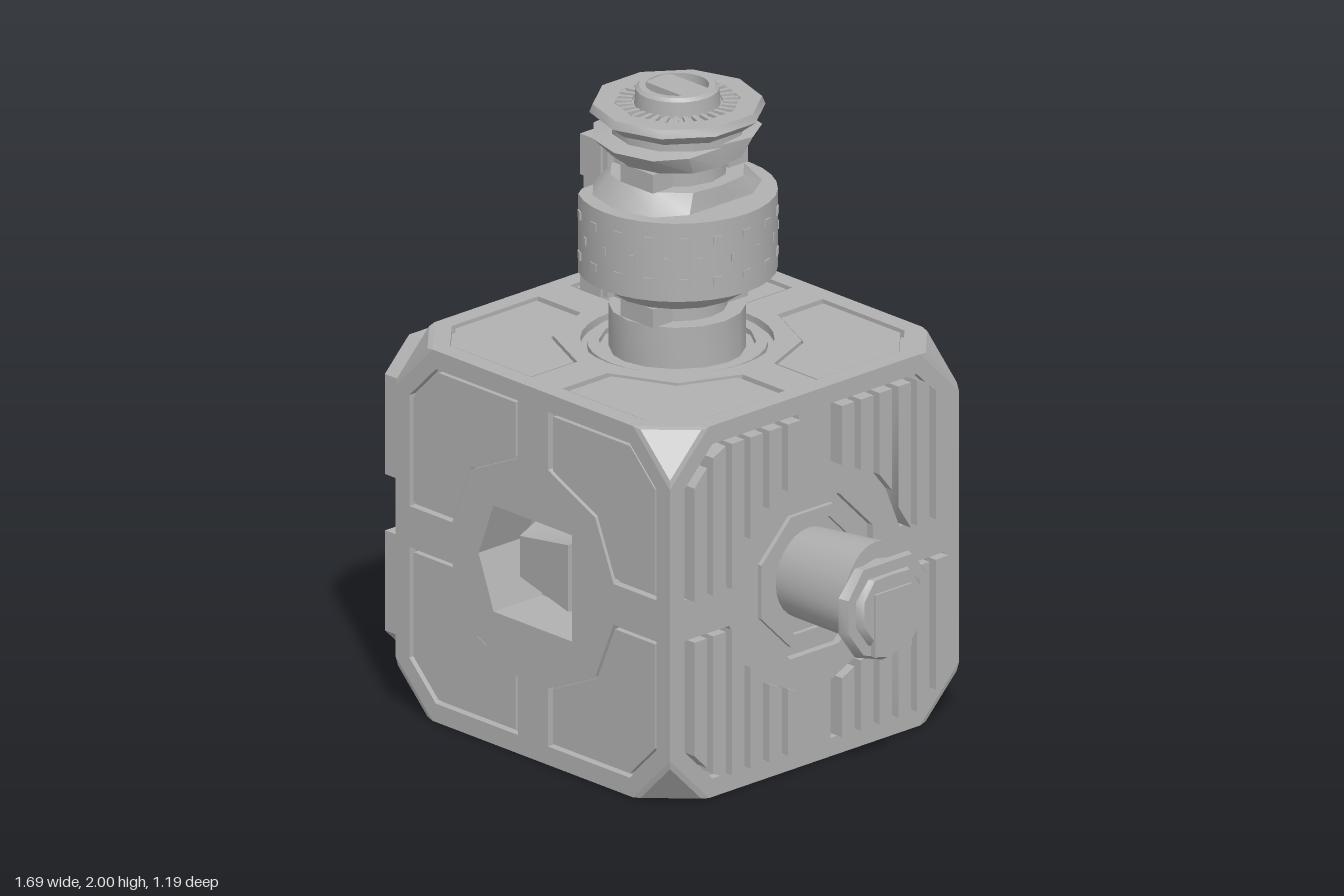
import * as THREE from 'three';
import { toCreasedNormals } from 'three/addons/utils/BufferGeometryUtils.js';
import { ConvexGeometry } from 'three/addons/geometries/ConvexGeometry.js';

const H = 0.594;      // half the cube
const CUT = 0.16;     // corner cut
const D = 0.025;      // depth of the face plates
const metal = new THREE.MeshStandardMaterial({ color: 0xb0b0b0 });
metal.name = 'grey metal';

const V2 = (p) => new THREE.Vector2(p[0], p[1]);
const shapeOf = (pts, holes = []) => {
  const s = new THREE.Shape(pts.map(V2));
  s.holes = holes.map((h) => new THREE.Path(h.map(V2)));
  return s;
};
const ngon = (n, r, turn = 0) => Array.from({ length: n }, (_, i) => {
  const a = turn + (i / n) * Math.PI * 2;
  return [r * Math.cos(a), r * Math.sin(a)];
});
const square = (h) => [[-h, -h], [h, -h], [h, h], [-h, h]];

function add(parent, name, geo, x = 0, y = 0, z = 0) {
  const m = new THREE.Mesh(toCreasedNormals(geo, 0.6), metal);
  m.name = name;
  m.position.set(x, y, z);
  parent.add(m);
  return m;
}
// Slab of a shape between two local heights
function slab(parent, name, shape, z0, z1) {
  return add(parent, name, new THREE.ExtrudeGeometry(shape, { depth: z1 - z0, bevelEnabled: false }), 0, 0, z0);
}
const box = (parent, name, w, h, d, x, y, z) => add(parent, name, new THREE.BoxGeometry(w, h, d), x, y, z);
function reshape(geo, rule) {
  const p = geo.attributes.position, v = new THREE.Vector3();
  for (let i = 0; i < p.count; i++) {
    v.fromBufferAttribute(p, i);
    rule(v);
    p.setXYZ(i, v.x, v.y, v.z);
  }
  geo.computeVertexNormals();
  return geo;
}

// Quarter panel outline in the first quadrant
const PANEL = [[0.065, 0.35], [0.27, 0.255], [0.35, 0.065], [0.535, 0.065], [0.535, 0.42], [0.42, 0.535], [0.065, 0.535]];
const BLOCK = [[0.09, 0.33], [0.255, 0.25], [0.33, 0.09], [0.51, 0.09], [0.51, 0.41], [0.41, 0.51], [0.09, 0.51]];
const inset = (pts, k) => pts.map(([x, y]) => [0.335 + (x - 0.335) * k, 0.335 + (y - 0.335) * k]);
const quadrants = [[1, 1], [-1, 1], [-1, -1], [1, -1]];
const mirrored = (pts, [sx, sy]) => pts.map(([x, y]) => [x * sx, y * sy]);
const b = H - CUT;
const OUTLINE = [[H, -b], [H, b], [b, H], [-b, H], [-H, b], [-H, -b], [-b, -H], [b, -H]];

// One cube face, outward along local +z
function cubeFace(body, name, rx, ry, hole, floorHole, panels = true) {
  const g = new THREE.Group();
  g.name = name;
  g.rotation.set(rx, ry, 0);
  body.add(g);
  slab(g, 'faceFrame', shapeOf(OUTLINE, [hole, ...quadrants.map((q) => mirrored(PANEL, q))]), H - D, H);
  const inner = OUTLINE.map(([x, y]) => [x * 0.97, y * 0.97]);
  slab(g, 'faceBacking', shapeOf(inner, floorHole ? [floorHole] : []), H - D - 0.01, H - D);
  if (panels) for (const q of quadrants) slab(g, 'panel', shapeOf(mirrored(inset(PANEL, 0.94), q)), H - D, H - 0.006);
  return g;
}

// Square steps sinking into a face
function steppedRecess(g) {
  slab(g, 'recessRim', shapeOf(ngon(8, 0.245, Math.PI / 8), [ngon(8, 0.21, Math.PI / 8)]), H - D, H - 0.012);
  for (let i = 0; i < 5; i++) {
    const top = H - D - i * 0.035;
    slab(g, 'recessStep', shapeOf(square(0.2 - i * 0.028), [square(0.155 - i * 0.028)]), top - 0.035, top - 0.004);
  }
  box(g, 'recessFloor', 0.2, 0.2, 0.01, 0, 0, H - D - 0.18);
}

// Socket with a tilted plug, sunk into a face
function plugSocket(g, hole) {
  const rim = hole.map(([x, y]) => [x * 1.1, y * 1.1]);
  slab(g, 'socketWall', shapeOf(rim, [hole]), H - 0.2, H - D);
  slab(g, 'socketFloor', shapeOf(rim), H - 0.21, H - 0.2);
  const plug = reshape(new THREE.BoxGeometry(0.25, 0.25, 0.17), (v) => {
    if (v.z > 0) {
      v.y = v.x < 0 ? v.y * 0.52 : v.y * 0.85;
      v.y += v.x < 0 ? 0 : 0.01;
      if (v.x < 0) v.z -= 0.04;
    }
  });
  add(g, 'plug', plug, -0.005, 0, H - 0.115);
}

// Upright ribs filling the quarter panels
function ribs(g) {
  const low = (u) => (u < 0.27 ? 0.35 - (u - 0.065) * 0.463 : u < 0.35 ? 0.255 - (u - 0.27) * 2.37 : 0.065);
  const high = (u) => (u < 0.42 ? 0.53 : 0.53 - (u - 0.42));
  for (const q of quadrants) {
    for (let i = 0; i < 6; i++) {
      const u0 = 0.085 + i * 0.077, u1 = u0 + 0.052;
      const rib = [[u0, low(u0)], [u1, low(u1)], [u1, high(u1)], [u0, high(u0)]];
      slab(g, 'rib', shapeOf(mirrored(rib, q)), H - D, H + 0.03);
    }
  }
}

// Stub arm along local +z, its upper side swelling outward
function stubArm(g) {
  const arm = new THREE.Group();
  arm.name = 'arm';
  arm.position.z = H;
  g.add(arm);
  const tube = (name, r0, r1, z0, z1, n, rule) => {
    const geo = new THREE.CylinderGeometry(r1, r0, z1 - z0, n);
    geo.rotateX(Math.PI / 2).translate(0, 0, (z0 + z1) / 2);
    return add(arm, name, rule ? reshape(geo, rule) : geo);
  };
  tube('armTube', 0.135, 0.135, -0.03, 0.265, 28, (v) => { if (v.y > 0) v.y *= 1.1 + 0.27 * Math.max(0, v.z / 0.265); });
  tube('armNeck', 0.132, 0.132, 0.26, 0.3, 16);
  const flat = (v) => { v.y = Math.min(v.y, 0.135); };
  tube('armFlange', 0.185, 0.17, 0.29, 0.318, 10, flat);
  tube('armCap', 0.14, 0.12, 0.315, 0.336, 10, (v) => { v.y = Math.min(v.y, 0.1); });
  box(arm, 'armKey', 0.15, 0.2, 0.02, 0, -0.045, 0.334);
}

// Turned column with a round band, a side control box and a capped head
function turret(body) {
  const t = new THREE.Group();
  t.name = 'turret';
  t.position.y = -H; // local heights are measured from the ground
  body.add(t);
  const lathe = (name, pts, n, lo, hi) => add(t, name, reshape(new THREE.LatheGeometry(pts.map(V2), n), (v) => {
    v.x = THREE.MathUtils.clamp(v.x, lo, hi);
  }));
  lathe('column', [[0.205, 1.15], [0.205, 1.3], [0.15, 1.3], [0.15, 1.36], [0.205, 1.36], [0.27, 1.42]], 16, -0.19, 0.3);
  lathe('band', [[0.15, 1.42], [0.3, 1.42], [0.3, 1.67], [0.15, 1.67]], 32, -0.19, 0.3);
  lathe('upperColumn', [[0.26, 1.67], [0.205, 1.73], [0.15, 1.73], [0.15, 1.79], [0.2, 1.79], [0.26, 1.85], [0.2, 1.86], [0.2, 1.9]], 12, -0.24, 0.19);
  lathe('head', [[0.17, 1.885], [0.22, 1.89], [0.265, 1.925], [0.255, 1.95], [0.19, 1.95], [0.185, 1.94], [0.13, 1.94]], 10, -0.3, 0.3);
  lathe('capRing', [[0.13, 1.93], [0.125, 1.99], [0.115, 2], [0.095, 2], [0.095, 1.97], [0, 1.97]], 24, -0.3, 0.3);
  box(t, 'capBar', 0.18, 0.035, 0.1, 0, 1.98, 0);
  for (let i = 0; i < 32; i++) {
    const a = (i / 32) * Math.PI * 2;
    const r = box(t, 'headTooth', 0.05, 0.012, 0.014, Math.cos(a) * 0.16, 1.944, -Math.sin(a) * 0.16);
    r.rotation.y = a;
  }
  // Lugs bridging the two grooves
  for (const y of [1.33, 1.76]) {
    for (const s of [-1, 1]) box(t, 'lug', 0.14, 0.06, 0.08, 0.03, y, s * 0.155);
    box(t, 'lug', 0.06, 0.06, 0.2, -0.16, y, 0);
  }
  // Small marks around the band
  for (let row = 0; row < 3; row++) {
    for (let i = 0; i < 18; i++) {
      const a = ((i + (row % 2) / 2) / 18) * Math.PI * 2;
      if (Math.cos(a) < -0.6) continue;
      const m = box(t, 'bandMark', 0.012, 0.025, row === 1 ? 0.012 : 0.03, Math.cos(a) * 0.297, 1.48 + row * 0.065, -Math.sin(a) * 0.297);
      m.rotation.y = a;
    }
  }
  // Control box
  box(t, 'controlBack', 0.08, 0.5, 0.25, -0.21, 1.55, 0);
  for (const [y, h] of [[1.365, 0.13], [1.735, 0.13]]) {
    box(t, 'controlBlock', 0.09, h, 0.27, -0.235, y, 0);
    box(t, 'controlLatch', 0.012, 0.05, 0.1, -0.284, y, 0);
  }
  for (let i = 0; i < 4; i++) {
    for (let j = -1; j <= 1; j++) box(t, 'controlButton', 0.04, 0.046, 0.065, -0.262, 1.46 + i * 0.06, j * 0.085);
  }
  box(t, 'controlKnob', 0.02, 0.07, 0.06, -0.287, 1.55, 0);
}

export function createModel() {
  const model = new THREE.Group();
  model.name = 'cubeMachine';
  const body = new THREE.Group();
  body.name = 'body';
  body.position.set(-0.09, H, 0);
  model.add(body);

  const oct = ngon(8, 0.26, Math.PI / 8);
  const socket = [[-0.235, 0], [-0.17, -0.17], [0.17, -0.17], [0.17, 0.17], [-0.17, 0.17]];
  const q = Math.PI / 2;

  // Front and back with sunken plugs
  plugSocket(cubeFace(body, 'frontFace', 0, 0, socket, socket), socket);
  plugSocket(cubeFace(body, 'backFace', 0, Math.PI, socket, socket), socket);

  // Ribbed side with the arm
  const left = cubeFace(body, 'leftFace', 0, q, oct, null, false);
  slab(left, 'armCollar', shapeOf(ngon(8, 0.225, Math.PI / 8), [ngon(8, 0.185, Math.PI / 8)]), H - D, H - 0.01);
  ribs(left);
  stubArm(left);

  // Side with four thick bevelled blocks
  const right = cubeFace(body, 'rightFace', 0, -q, oct, square(0.18), false);
  steppedRecess(right);
  for (const s of quadrants) {
    const geo = new THREE.ExtrudeGeometry(shapeOf(mirrored(BLOCK, s)), {
      depth: 0.155, bevelEnabled: true, bevelThickness: 0.025, bevelSize: 0.025, bevelOffset: -0.025, bevelSegments: 1,
    });
    add(right, 'sideBlock', geo, 0, 0, H - 0.02);
  }

  // Top with a round seat, bottom with a stepped recess
  const top = cubeFace(body, 'topFace', -q, 0, ngon(32, 0.29), null);
  slab(top, 'turretSeat', shapeOf(ngon(32, 0.27), [ngon(16, 0.235)]), H - D, H - 0.008);
  steppedRecess(cubeFace(body, 'bottomFace', q, 0, oct, square(0.18)));

  // Cut corners with raised triangular caps
  for (const x of [-1, 1]) for (const y of [-1, 1]) for (const z of [-1, 1]) {
    const s = new THREE.Vector3(x, y, z);
    const tri = [[b, H, H], [H, b, H], [H, H, b]].map((p) => new THREE.Vector3(...p).multiply(s));
    const mid = s.clone().multiplyScalar(H - CUT / 3);
    const cap = tri.map((p) => p.clone().lerp(mid, 0.2).addScaledVector(s, 0.006));
    add(body, 'cornerCap', new ConvexGeometry([...tri, ...cap, s.clone().multiplyScalar(b)]));
  }

  turret(body);
  return model;
}
